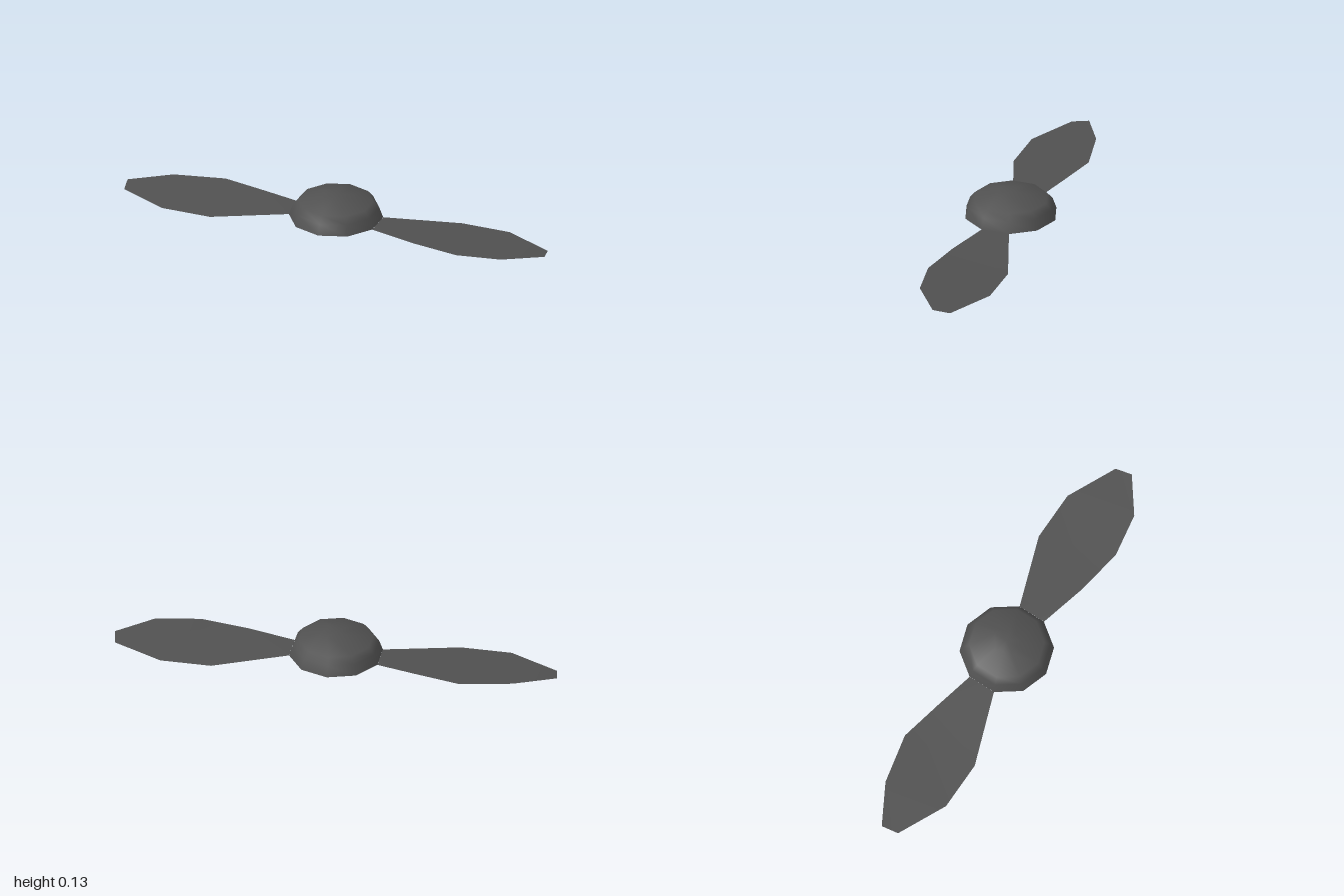
import * as THREE from 'three';
import { mergeVertices } from 'three/addons/utils/BufferGeometryUtils.js';

const darkGrey = new THREE.MeshStandardMaterial({ color: 0x505050, side: THREE.DoubleSide });
darkGrey.name = 'darkGrey';

// Hollow ten-sided dome whose flat crown is a pentagon
function makeHub() {
  const sides = 10;
  const profile = [[0.21, 0.022], [0.193, 0.07], [0.167, 0.1], [0.065, 0.13], [0, 0.13]]
    .map(([r, y]) => new THREE.Vector2(r, y));
  let geometry = new THREE.LatheGeometry(profile, sides);
  const pos = geometry.attributes.position;
  const shrink = Math.cos(Math.PI / 5);
  // Pull every other crown corner in to the middle of a pentagon edge
  for (let s = 0; s <= sides; s += 2) {
    const i = s * profile.length + 3;
    pos.setXYZ(i, pos.getX(i) * shrink, pos.getY(i), pos.getZ(i) * shrink);
  }
  geometry.deleteAttribute('normal');
  geometry.deleteAttribute('uv');
  geometry = mergeVertices(geometry);
  geometry.computeVertexNormals();
  const hub = new THREE.Mesh(geometry, darkGrey);
  hub.name = 'hub';
  return hub;
}

// Thin twisted blade along +x: a strip between its low and high edge, closed by a tip
function makeBlade(name, lowEdge, highEdge) {
  const points = [];
  lowEdge.forEach(([x, z], i) => {
    points.push(x, i === 0 ? 0.022 : 0, z);
    points.push(highEdge[i][0], 0.022, highEdge[i][1]);
  });
  points.push(1, 0.01, 0);
  const index = [];
  const last = (lowEdge.length - 1) * 2;
  for (let i = 0; i < last; i += 2) index.push(i, i + 1, i + 3, i, i + 3, i + 2);
  index.push(last, last + 1, last + 2);
  const geometry = new THREE.BufferGeometry();
  geometry.setAttribute('position', new THREE.Float32BufferAttribute(points, 3));
  geometry.setIndex(index);
  geometry.computeVertexNormals();
  const blade = new THREE.Mesh(geometry, darkGrey);
  blade.name = name;
  return blade;
}

export function createModel() {
  const model = new THREE.Group();
  model.name = 'propeller';
  const lowEdge = [[0.2, -0.065], [0.53, -0.183], [0.76, -0.183], [0.985, -0.077]];
  const leftBlade = makeBlade('leftBlade', lowEdge,
    [[0.2, 0.065], [0.42, 0.12], [0.64, 0.155], [0.84, 0.12]]);
  // The opposite blade is turned half a circle and has a slightly different high edge
  const rightBlade = makeBlade('rightBlade', lowEdge,
    [[0.2, 0.065], [0.39, 0.108], [0.59, 0.15], [0.82, 0.1]]);
  rightBlade.rotation.y = Math.PI;
  model.add(makeHub(), leftBlade, rightBlade);
  return model;
}
